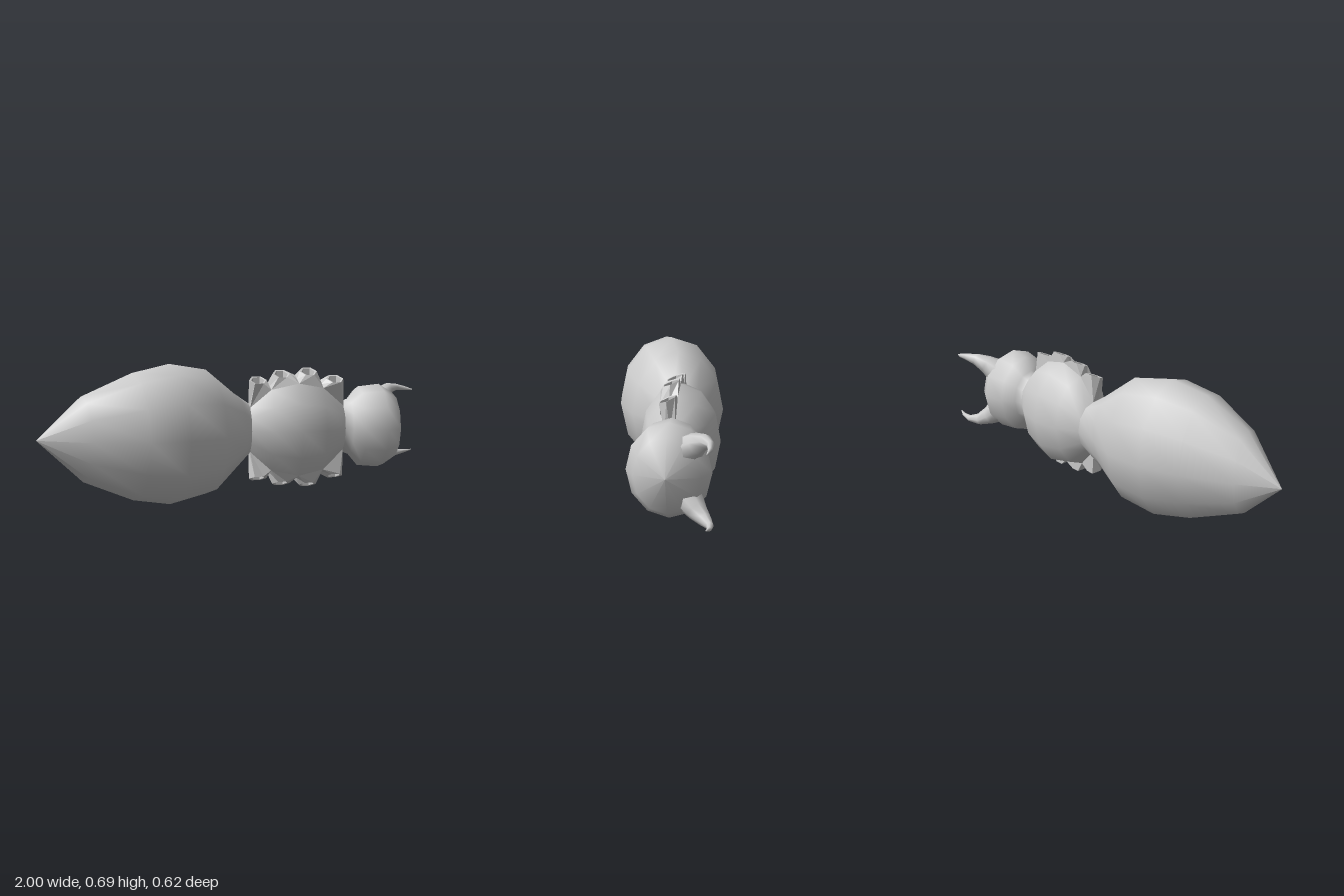
import * as THREE from 'three';

const SIDES = 12;
const MID_Y = 0.35;

// Join closed loops of points into one surface
function skin(loops, { skip = [], flip = false, flat = false } = {}) {
  const n = loops[0].length;
  const pos = loops.flat().flatMap((p) => [p.x, p.y, p.z]);
  const index = [];
  const tri = (a, b, c) => (flip ? index.push(a, c, b) : index.push(a, b, c));
  for (let i = 0; i < loops.length - 1; i++) {
    for (let j = 0; j < n; j++) {
      if (skip.includes(j)) continue;
      const a = i * n + j, b = i * n + ((j + 1) % n);
      tri(a, a + n, b);
      tri(b, a + n, b + n);
    }
  }
  let geo = new THREE.BufferGeometry();
  geo.setAttribute('position', new THREE.Float32BufferAttribute(pos, 3));
  geo.setIndex(index);
  if (flat) geo = geo.toNonIndexed();
  geo.computeVertexNormals();
  return geo;
}

// Elliptical ring: centre x, centre z, half height, half depth, lean of the front edge in x
function ring([x, z, ry, rz, lean = 0]) {
  return Array.from({ length: SIDES }, (_, j) => {
    const a = (j / SIDES) * Math.PI * 2;
    const c = Math.cos(a);
    return new THREE.Vector3(x + lean * c, MID_Y + ry * Math.sin(a), z + rz * c);
  });
}

export function createModel() {
  const group = new THREE.Group();
  const material = new THREE.MeshStandardMaterial({ color: 0xcccccc });
  const add = (name, geo) => {
    const mesh = new THREE.Mesh(geo, material);
    mesh.name = name;
    group.add(mesh);
  };

  // Abdomen, drooping to a pointed tail
  add('abdomen', skin([
    [-1, 0.1, 0, 0],
    [-0.785, 0.1, 0.205, 0.13, 0.045],
    [-0.545, 0.0725, 0.308, 0.233, 0.065],
    [-0.36, 0.0225, 0.345, 0.258, 0.07],
    [-0.17, -0.035, 0.31, 0.225, 0.07],
    [-0.02, -0.09, 0.185, 0.12, 0.05],
    [0.06, -0.105, 0.13, 0.095],
  ].map(ring)));

  // Thorax, with a strip left open on each side for the leg sockets
  const thorax = [
    [0.06, -0.105, 0.13, 0.095],
    [0.16, -0.103, 0.235, 0.16],
    [0.3, -0.102, 0.27, 0.188],
    [0.43, -0.103, 0.24, 0.16],
    [0.545, -0.105, 0.13, 0.095],
  ].map(ring);
  add('thorax', skin(thorax, { skip: [2, 9] }));

  // Leg sockets: raised hexagonal collars with open bores
  const collars = [[0.1, 0.6], [0.22, 0.63], [0.36, 0.64], [0.5, 0.6]];
  const hexagon = (x, y, rx, rz) => Array.from({ length: 6 }, (_, k) => {
    const a = (k / 6) * Math.PI * 2;
    const dz = rz * Math.sin(a) / Math.sin(Math.PI / 3);
    return new THREE.Vector3(x + rx * Math.cos(a), y - 0.42 * dz, -0.065 + dz);
  });
  collars.forEach(([x, y], i) => {
    const [l, r] = [thorax[i], thorax[i + 1]];
    const mid = (p) => p[2].clone().lerp(p[3], 0.5);
    const base = [mid(r), r[2], l[2], mid(l), l[3], r[3]];
    const loops = [base, hexagon(x, y, 0.045, 0.036),
      hexagon(x, y - 0.002, 0.034, 0.032), hexagon(x, y - 0.06, 0.034, 0.032)];
    for (const side of [1, -1]) {
      const placed = loops.map((loop) => loop.map((p) =>
        new THREE.Vector3(p.x, MID_Y + side * (p.y - MID_Y), p.z)));
      add(side > 0 ? 'upperLegSocket' : 'lowerLegSocket',
        skin(placed, { flip: side < 0, flat: true }));
    }
  });

  // Neck and head
  add('head', skin([
    [0.545, -0.105, 0.13, 0.095],
    [0.585, -0.105, 0.145, 0.107],
    [0.635, -0.102, 0.205, 0.162],
    [0.745, -0.102, 0.216, 0.188],
    [0.82, -0.102, 0.17, 0.147],
    [0.862, -0.1, 0, 0],
  ].map(ring)));

  // Mandibles: tapering hooks, one on each side of the head
  const hook = [
    [0.77, 0.46, -0.19, 0.068], [0.815, 0.5, -0.232, 0.047],
    [0.855, 0.523, -0.268, 0.031], [0.91, 0.528, -0.294, 0.017],
    [0.96, 0.521, -0.297, 0.01], [1, 0.513, -0.287, 0.003], [1, 0.513, -0.287, 0],
  ];
  const points = hook.map(([x, y, z]) => new THREE.Vector3(x, y, z));
  const hookLoops = points.map((p, i) => {
    const dir = points[Math.min(i + 1, 5)].clone().sub(points[Math.max(Math.min(i, 5) - 1, 0)]).normalize();
    const q = new THREE.Quaternion().setFromUnitVectors(new THREE.Vector3(1, 0, 0), dir);
    return Array.from({ length: 8 }, (_, k) => {
      const a = (k / 8) * Math.PI * 2;
      return new THREE.Vector3(0, Math.sin(a), Math.cos(a))
        .multiplyScalar(hook[i][3]).applyQuaternion(q).add(p);
    });
  });
  for (const side of [1, -1]) {
    const placed = hookLoops.map((loop) => loop.map((p) =>
      new THREE.Vector3(p.x, MID_Y + side * (p.y - MID_Y), p.z)));
    add(side > 0 ? 'upperMandible' : 'lowerMandible', skin(placed, { flip: side < 0 }));
  }

  return group;
}
